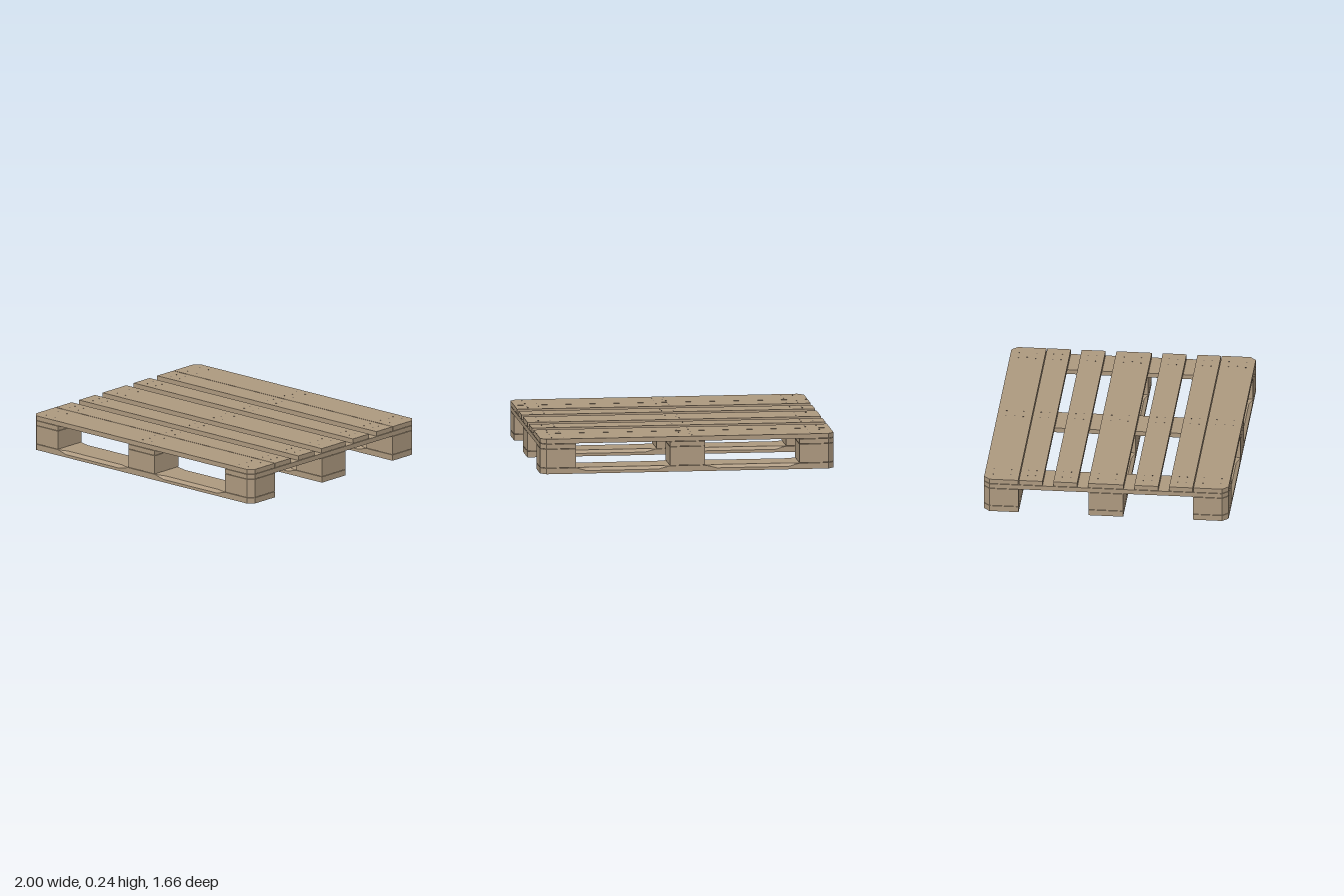
import * as THREE from 'three';

const W = 1, D = 0.83, CUT = 0.04; // half width, half depth, corner cut
const SEAM = 0.003; // gap between stacked layers
const Y = { deck: 0.24, stringer: 0.205, block: 0.17, base: 0.04 };

const wood = new THREE.MeshStandardMaterial({ color: 0xae9a80 });
wood.name = 'wood';
const nailSteel = new THREE.MeshStandardMaterial({ color: 0x5a524a });
nailSteel.name = 'nailSteel';

// Upright slab; corners that fall on the outer corners of the pallet are cut off
function slab(name, x0, x1, z0, z1, y0, y1) {
  const pts = [];
  for (const [x, z, xFirst] of [[x0, z1, false], [x1, z1, true], [x1, z0, false], [x0, z0, true]]) {
    const outer = Math.abs(x) > W - 0.001 && Math.abs(z) > D - 0.001;
    if (!outer) { pts.push(new THREE.Vector2(x, -z)); continue; }
    const onX = new THREE.Vector2(x - Math.sign(x) * CUT, -z);
    const onZ = new THREE.Vector2(x, -(z - Math.sign(z) * CUT));
    pts.push(...(xFirst ? [onX, onZ] : [onZ, onX]));
  }
  const g = new THREE.ExtrudeGeometry(new THREE.Shape(pts), { depth: y1 - y0 - SEAM, bevelEnabled: false });
  g.rotateX(-Math.PI / 2).translate(0, y0 + SEAM, 0);
  const m = new THREE.Mesh(g, wood);
  m.name = name;
  return m;
}

// Base board lofted along x, with its upper edges bevelled between the blocks
function baseBoard(z0, z1) {
  const stations = [
    [-1, 0, true], [-0.96, 0], [-0.76, 0], [-0.69, 1], [-0.2, 1], [-0.12, 0],
    [0.12, 0], [0.2, 1], [0.69, 1], [0.76, 0], [0.96, 0], [1, 0, true],
  ];
  const rings = stations.map(([x, b, end]) => {
    const a = end && z0 < -D + 0.001 ? z0 + CUT : z0;
    const c = end && z1 > D - 0.001 ? z1 - CUT : z1;
    const y = Y.base - 0.02 * b, inset = 0.022 * b;
    return [[a, 0], [c, 0], [c, y], [c - inset, Y.base], [a + inset, Y.base], [a, y]]
      .map(([z, h]) => new THREE.Vector3(x, h, z));
  });
  const tris = [];
  const tri = (a, b, c) => {
    const area = b.clone().sub(a).cross(c.clone().sub(a)).length();
    if (area > 1e-8) for (const p of [a, b, c]) tris.push(p.x, p.y, p.z);
  };
  for (let i = 0; i < rings.length - 1; i++) {
    for (let j = 0; j < 6; j++) {
      const k = (j + 1) % 6, r = rings[i], s = rings[i + 1];
      tri(r[j], s[j], s[k]);
      tri(r[j], s[k], r[k]);
    }
  }
  const first = rings[0], last = rings[rings.length - 1];
  for (let j = 1; j < 5; j++) {
    tri(first[0], first[j], first[j + 1]);
    tri(last[0], last[j + 1], last[j]);
  }
  const g = new THREE.BufferGeometry();
  g.setAttribute('position', new THREE.Float32BufferAttribute(tris, 3));
  g.computeVertexNormals();
  const m = new THREE.Mesh(g, wood);
  m.name = 'baseBoard';
  return m;
}

export function createModel() {
  const pallet = new THREE.Group();
  pallet.name = 'pallet';

  const columns = [[-1, -0.762], [-0.12, 0.12], [0.762, 1]];
  const rows = [[-D, -0.592], [-0.118, 0.118], [0.592, D]];
  const deck = [
    [-D, -0.595], [-0.59, -0.43], [-0.356, -0.194], [-0.12, 0.12],
    [0.194, 0.356], [0.43, 0.59], [0.595, D],
  ];

  // Deck boards
  for (const [z0, z1] of deck) pallet.add(slab('deckBoard', -1, 1, z0, z1, Y.stringer, Y.deck));

  // Stringers and blocks
  for (const [x0, x1] of columns) {
    pallet.add(slab('stringerBoard', x0, x1, -D, D, Y.block, Y.stringer));
    for (const [z0, z1] of rows) pallet.add(slab('block', x0, x1, z0, z1, Y.base, Y.block));
  }

  // Base boards
  for (const [z0, z1] of rows) pallet.add(baseBoard(z0, z1));

  // Nail heads on the deck and under the base
  const nails = new THREE.Group();
  nails.name = 'nails';
  const head = new THREE.CylinderGeometry(0.005, 0.005, 0.002, 8);
  const nail = (x, y, z) => {
    const m = new THREE.Mesh(head, nailSteel);
    m.name = 'nailHead';
    m.position.set(x, y, z);
    nails.add(m);
  };
  const nailBoard = ([z0, z1], y) => {
    const mid = (z0 + z1) / 2, wide = z1 - z0 > 0.2, dz = wide ? 0.06 : 0.028;
    for (const cx of [-0.88, 0, 0.88]) {
      for (const dx of [-0.04, 0.04]) for (const s of [-1, 1]) nail(cx + dx, y, mid + s * dz);
      if (wide && cx >= 0) nail(cx - 0.025, y, mid);
    }
  };
  deck.forEach((b) => nailBoard(b, Y.deck));
  rows.forEach((b) => nailBoard(b, 0.0005));
  pallet.add(nails);

  return pallet;
}
